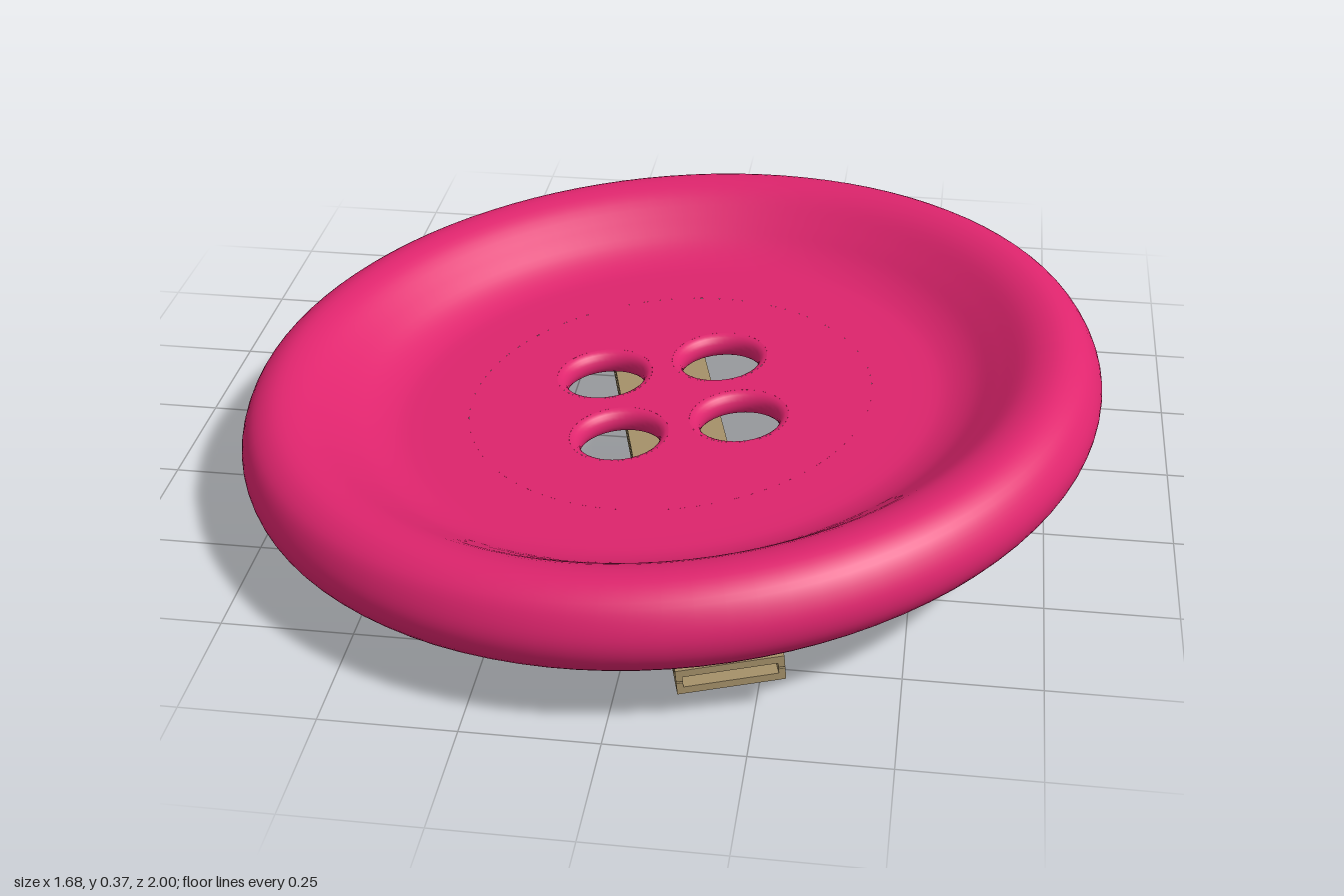
import * as THREE from 'three';

const pink = new THREE.MeshStandardMaterial({ color: 0xe0256e });
pink.name = 'pink plastic';
const brass = new THREE.MeshStandardMaterial({ color: 0xa8936b });
brass.name = 'dull brass';

const rad = THREE.MathUtils.degToRad;

function add(parent, name, geometry, material, x = 0, y = 0, z = 0) {
  const mesh = new THREE.Mesh(geometry, material);
  mesh.name = name;
  mesh.position.set(x, y, z);
  parent.add(mesh);
  return mesh;
}

// Button: lathed rim around a flat disc with four rounded holes
function makeButton() {
  const button = new THREE.Group();
  button.name = 'button';
  const top = -0.015, bottom = -0.065, discR = 0.4;

  const rim = [
    [discR, bottom], [0.52, bottom], [0.6, -0.072], [0.67, -0.09], [0.725, -0.096],
    [0.79, -0.078], [0.83, -0.04], [0.843, 0], [0.835, 0.04], [0.81, 0.077],
    [0.765, 0.096], [0.71, 0.085], [0.65, 0.045], [0.6, 0.01], [0.55, -0.01],
    [0.5, top], [discR, top],
  ].map(([r, y]) => new THREE.Vector2(r, y));
  add(button, 'rim', new THREE.LatheGeometry(new THREE.SplineCurve(rim).getPoints(64), 96), pink);

  const holeR = 0.077, round = 0.02;
  const disc = new THREE.Shape().absarc(0, 0, discR, 0, Math.PI * 2);
  const collar = [];
  for (let i = 0; i <= 10; i++) {
    const a = (i / 10) * Math.PI;
    collar.push(new THREE.Vector2(
      holeR + round - round * Math.sin(a),
      (top + bottom) / 2 + ((top - bottom) / 2) * Math.cos(a)));
  }
  const collarGeometry = new THREE.LatheGeometry(collar, 40);
  for (let i = 0; i < 4; i++) {
    const a = rad(-61 + 90 * i);
    const x = 0.167 * Math.cos(a), z = 0.167 * Math.sin(a) - 0.008;
    disc.holes.push(new THREE.Path().absarc(x, -z, holeR + round, 0, Math.PI * 2, true));
    add(button, 'holeEdge', collarGeometry, pink, x, 0, z);
  }
  const plate = new THREE.ExtrudeGeometry(disc, {
    depth: top - bottom, bevelEnabled: false, curveSegments: 40,
  });
  plate.rotateX(-Math.PI / 2);
  add(button, 'disc', plate, pink, 0, bottom, 0);
  return button;
}

const CLIP_LENGTH = 1.94, CLIP_WIDTH = 0.19;

// Side profile drawn as (along, up), extruded across x and centred on it
function sidePlate(shape, thickness) {
  const g = new THREE.ExtrudeGeometry(shape, { depth: thickness, bevelEnabled: false });
  g.translate(0, 0, -thickness / 2);
  return g.rotateY(-Math.PI / 2);
}

// Jaw: flat strip whose outer face is y = 0, with wavy toothed sides
function makeJaw(name) {
  const jaw = new THREE.Group();
  jaw.name = name;
  add(jaw, 'strip', new THREE.BoxGeometry(CLIP_WIDTH, 0.014, CLIP_LENGTH), brass, 0, -0.007, 0);
  const start = -0.6, end = CLIP_LENGTH / 2, steps = 160;
  const teeth = new THREE.Shape();
  teeth.moveTo(start, -0.005);
  for (let i = 0; i <= steps; i++) {
    const t = i / steps;
    teeth.lineTo(start + (end - start) * t, -0.023 + 0.004 * Math.sin(t * Math.PI * 2 * 26));
  }
  teeth.lineTo(end, -0.005);
  const geometry = sidePlate(teeth, 0.012);
  for (const side of [-1, 1]) {
    add(jaw, 'teeth', geometry, brass, side * (CLIP_WIDTH / 2 - 0.006), 0, 0);
  }
  return jaw;
}

// Clip: two jaws, side brackets, pivot pin and coil spring
function makeClip() {
  const clip = new THREE.Group();
  clip.name = 'clip';
  clip.add(makeJaw('upperJaw'));
  const lower = makeJaw('lowerJaw');
  lower.position.y = -0.067;
  lower.rotation.set(-0.018, 0, Math.PI);
  clip.add(lower);

  const hinge = new THREE.Group();
  hinge.name = 'hinge';
  hinge.position.set(0, -0.06, -0.71);
  clip.add(hinge);

  const bracket = new THREE.Shape();
  bracket.moveTo(-0.095, 0.055);
  bracket.lineTo(-0.09, -0.015);
  bracket.lineTo(-0.055, -0.05);
  bracket.lineTo(0.06, -0.05);
  bracket.lineTo(0.085, -0.02);
  bracket.lineTo(0.1, 0.055);
  const bracketGeometry = sidePlate(bracket, 0.012);
  const capGeometry = new THREE.CylinderGeometry(0.036, 0.036, 0.014, 24).rotateZ(Math.PI / 2);
  for (const side of [-1, 1]) {
    add(hinge, 'bracket', bracketGeometry, brass, side * 0.1, 0, 0);
    add(hinge, 'pinCap', capGeometry, brass, side * 0.118, 0, 0);
  }
  add(hinge, 'pin', new THREE.CylinderGeometry(0.014, 0.014, 0.22, 16).rotateZ(Math.PI / 2), brass);

  const coil = [];
  const turns = 5;
  for (let i = 0; i <= turns * 12; i++) {
    const a = (i / 12) * Math.PI * 2;
    coil.push(new THREE.Vector3(-0.08 + (0.16 * i) / (turns * 12),
      -0.004 + 0.044 * Math.cos(a), 0.044 * Math.sin(a)));
  }
  add(hinge, 'spring',
    new THREE.TubeGeometry(new THREE.CatmullRomCurve3(coil), 160, 0.006, 8), brass);
  return clip;
}

export function createModel() {
  const model = new THREE.Group();
  model.name = 'buttonHairClip';
  const tilted = new THREE.Group();
  tilted.name = 'tiltedAssembly';
  tilted.position.set(0, 0.219, 0.155);
  tilted.rotation.set(rad(1.46), 0, rad(4.8));
  tilted.add(makeButton());

  const clip = makeClip();
  clip.position.set(-0.046, -0.097, -0.195);
  clip.rotation.y = rad(14.7);
  tilted.add(clip);
  model.add(tilted);
  return model;
}
